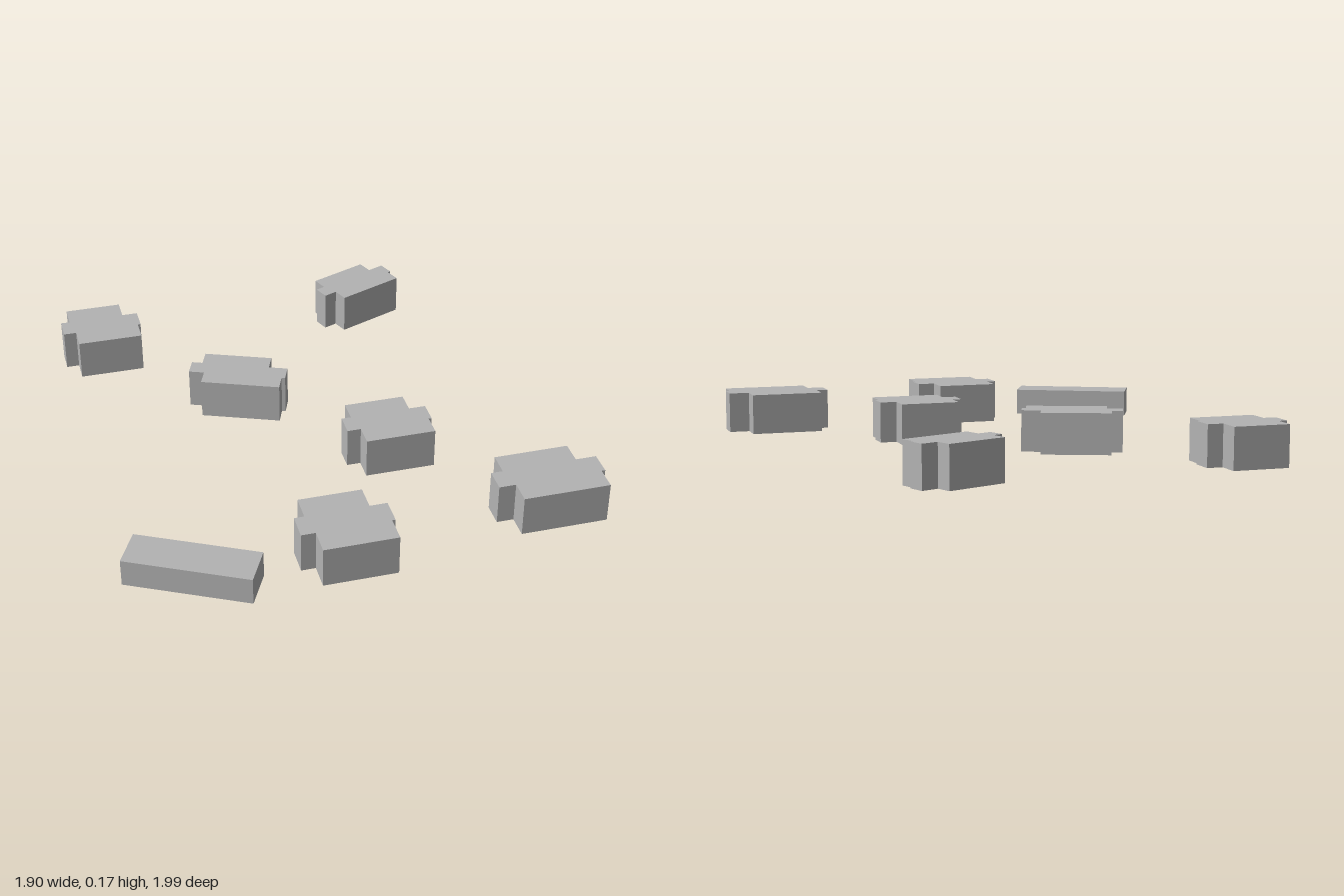
import * as THREE from 'three';

// Footprint of a building on a unit square: [x, z], z growing toward the front
const FOOTPRINT = [
  [-0.343, 0.5], [0.463, 0.5], [0.463, 0.168], [0.5, 0.168],
  [0.5, -0.168], [0.306, -0.168], [0.306, -0.5], [-0.39, -0.5],
  [-0.39, -0.168], [-0.5, -0.168], [-0.5, 0.168], [-0.343, 0.168],
];

// Each building: name, centre x, centre z, width, depth, turn in degrees
const BUILDINGS = [
  ['backLeftBuilding', -0.773, -0.783, 0.335, 0.28, 0],
  ['backRightBuilding', 0.397, -0.86, 0.368, 0.197, 21.3],
  ['middleLeftBuilding', -0.272, -0.272, 0.407, 0.215, -21.7],
  ['middleBuilding', 0.229, 0.225, 0.352, 0.266, 0],
  ['frontMiddleBuilding', -0.108, 0.809, 0.364, 0.314, 0],
  ['frontRightBuilding', 0.73, 0.726, 0.433, 0.282, 0],
];
const HEIGHT = 0.168;

export function createModel() {
  const group = new THREE.Group();
  const grey = new THREE.MeshStandardMaterial({ color: 0xb3b3b3 });
  grey.name = 'plain grey';

  const place = (name, geometry, x, y, z, turn) => {
    const mesh = new THREE.Mesh(geometry, grey);
    mesh.name = name;
    mesh.position.set(x, y, z);
    mesh.rotation.y = THREE.MathUtils.degToRad(turn);
    group.add(mesh);
  };

  // Stepped buildings: the shared footprint stretched and extruded upward
  for (const [name, x, z, width, depth, turn] of BUILDINGS) {
    const outline = FOOTPRINT.map(([u, w]) => new THREE.Vector2(u * width, -w * depth));
    const geometry = new THREE.ExtrudeGeometry(new THREE.Shape(outline), {
      depth: HEIGHT, bevelEnabled: false,
    });
    geometry.rotateX(-Math.PI / 2);
    place(name, geometry, x, 0, z, turn);
  }

  // Long low block
  place('lowBlock', new THREE.BoxGeometry(0.501, 0.112, 0.161), -0.69, 0.056, 0.813, -27);

  return group;
}
